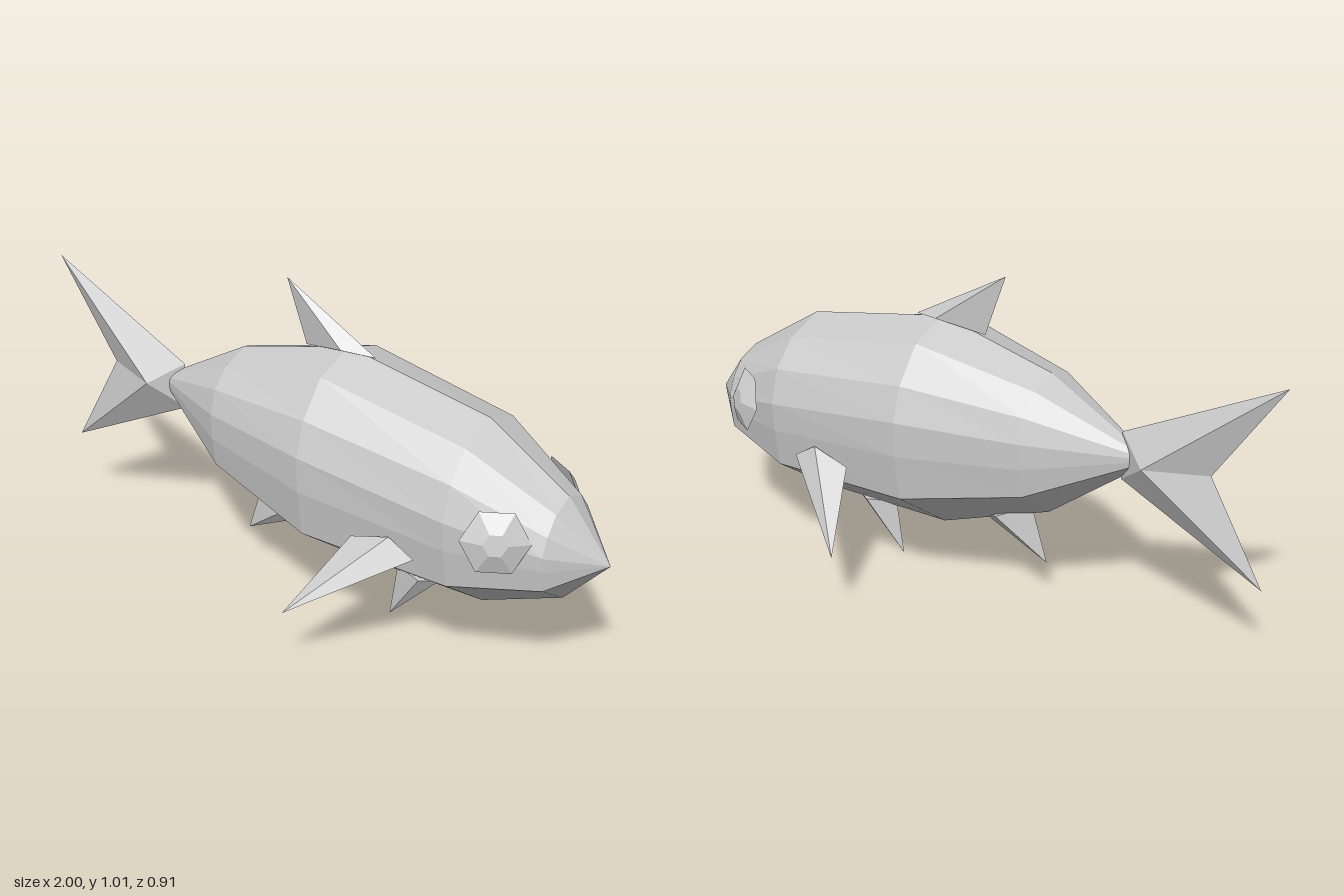
import * as THREE from 'three';
import { ConvexGeometry } from 'three/addons/geometries/ConvexGeometry.js';

const material = new THREE.MeshStandardMaterial({ color: 0xcccccc, flatShading: true });

function addMesh(parent, name, geometry) {
  const mesh = new THREE.Mesh(geometry, material);
  mesh.name = name;
  parent.add(mesh);
  return mesh;
}

// Faceted solid spanning a few corner points
const hull = (points) => new ConvexGeometry(points.map((p) => new THREE.Vector3(...p)));

// Half cross-sections of the body as [z, y], from back ridge to keel
const sections = [
  { x: -0.6, half: Array(7).fill([0, 0.562]) },
  { x: -0.26, half: [[0, 0.754], [0.09, 0.725], [0.15, 0.665], [0.172, 0.59], [0.17, 0.51], [0.155, 0.417], [0, 0.305]] },
  { x: 0.12, half: [[0, 0.85], [0.14, 0.805], [0.225, 0.7], [0.259, 0.595], [0.256, 0.485], [0.234, 0.338], [0, 0.166]] },
  { x: 0.6, half: [[0, 0.76], [0.128, 0.715], [0.205, 0.635], [0.236, 0.53], [0.23, 0.44], [0.21, 0.317], [0, 0.166]] },
  { x: 0.86, half: [[0, 0.594], [0.072, 0.567], [0.115, 0.515], [0.137, 0.46], [0.135, 0.415], [0.125, 0.35], [0, 0.268]] },
  { x: 1, half: Array(7).fill([0, 0.418]) },
];

function bodyGeometry() {
  const rings = sections.map(({ x, half }) => [
    ...half.map(([z, y]) => [x, y, z]),
    ...half.slice(1, -1).reverse().map(([z, y]) => [x, y, -z]),
  ]);
  const positions = [];
  const count = rings[0].length;
  for (let i = 0; i < rings.length - 1; i++) {
    for (let j = 0; j < count; j++) {
      const k = (j + 1) % count;
      const a = rings[i][j], b = rings[i][k], c = rings[i + 1][k], d = rings[i + 1][j];
      if (i > 0) positions.push(...a, ...b, ...(i < rings.length - 2 ? c : d));
      if (i < rings.length - 2) positions.push(...a, ...c, ...d);
    }
  }
  const geometry = new THREE.BufferGeometry();
  geometry.setAttribute('position', new THREE.Float32BufferAttribute(positions, 3));
  geometry.computeVertexNormals();
  return geometry;
}

// Upright fin: a flat triangle thickened by a ridge point on each side
function uprightFin(tip, rear, front, ridge, thickness) {
  return hull([
    [...tip, 0], [...rear, 0], [...front, 0],
    [...ridge, thickness], [...ridge, -thickness],
  ]);
}

export function createModel() {
  const fish = new THREE.Group();
  fish.name = 'fish';

  addMesh(fish, 'body', bodyGeometry());

  // Fins on the centre line
  addMesh(fish, 'dorsalFin', uprightFin([-0.1, 1.015], [-0.03, 0.82], [0.215, 0.838], [0.12, 0.852], 0.04));
  addMesh(fish, 'pelvicFin', uprightFin([0.28, 0.005], [0.305, 0.18], [0.45, 0.175], [0.4, 0.177], 0.034));
  addMesh(fish, 'analFin', uprightFin([-0.255, 0.13], [-0.2, 0.305], [-0.03, 0.235], [-0.09, 0.255], 0.034));

  // Forked tail: two lobes joined by a wedge at the root
  const tail = new THREE.Group();
  tail.name = 'tail';
  fish.add(tail);
  const upperRoot = [-0.5, 0.63, 0], lowerRoot = [-0.5, 0.48, 0], notch = [-0.785, 0.565, 0];
  const ridges = [[-0.6, 0.562, 0.07], [-0.6, 0.562, -0.07]];
  addMesh(tail, 'upperTailLobe', hull([[-1, 0.88, 0], upperRoot, notch, ...ridges]));
  addMesh(tail, 'lowerTailLobe', hull([[-0.96, 0.255, 0], lowerRoot, notch, ...ridges]));
  addMesh(tail, 'tailRoot', hull([upperRoot, lowerRoot, ...ridges]));

  // Side fins and eyes, mirrored
  for (const [side, s] of [['front', 1], ['back', -1]]) {
    addMesh(fish, side + 'PectoralFin', hull([
      [0.21, 0.21, 0.455 * s], [0.305, 0.4, 0.25 * s], [0.51, 0.385, 0.24 * s],
      [0.43, 0.435, 0.245 * s], [0.43, 0.34, 0.22 * s],
    ]));

    const eye = addMesh(fish, side + 'Eye', new THREE.CylinderGeometry(0.035, 0.1, 0.03, 6));
    eye.position.set(0.75, 0.5, 0.205 * s);
    const normal = new THREE.Vector3(0.5, 0.2, 0.83 * s).normalize();
    eye.quaternion.setFromUnitVectors(new THREE.Vector3(0, 1, 0), normal);
  }

  return fish;
}
